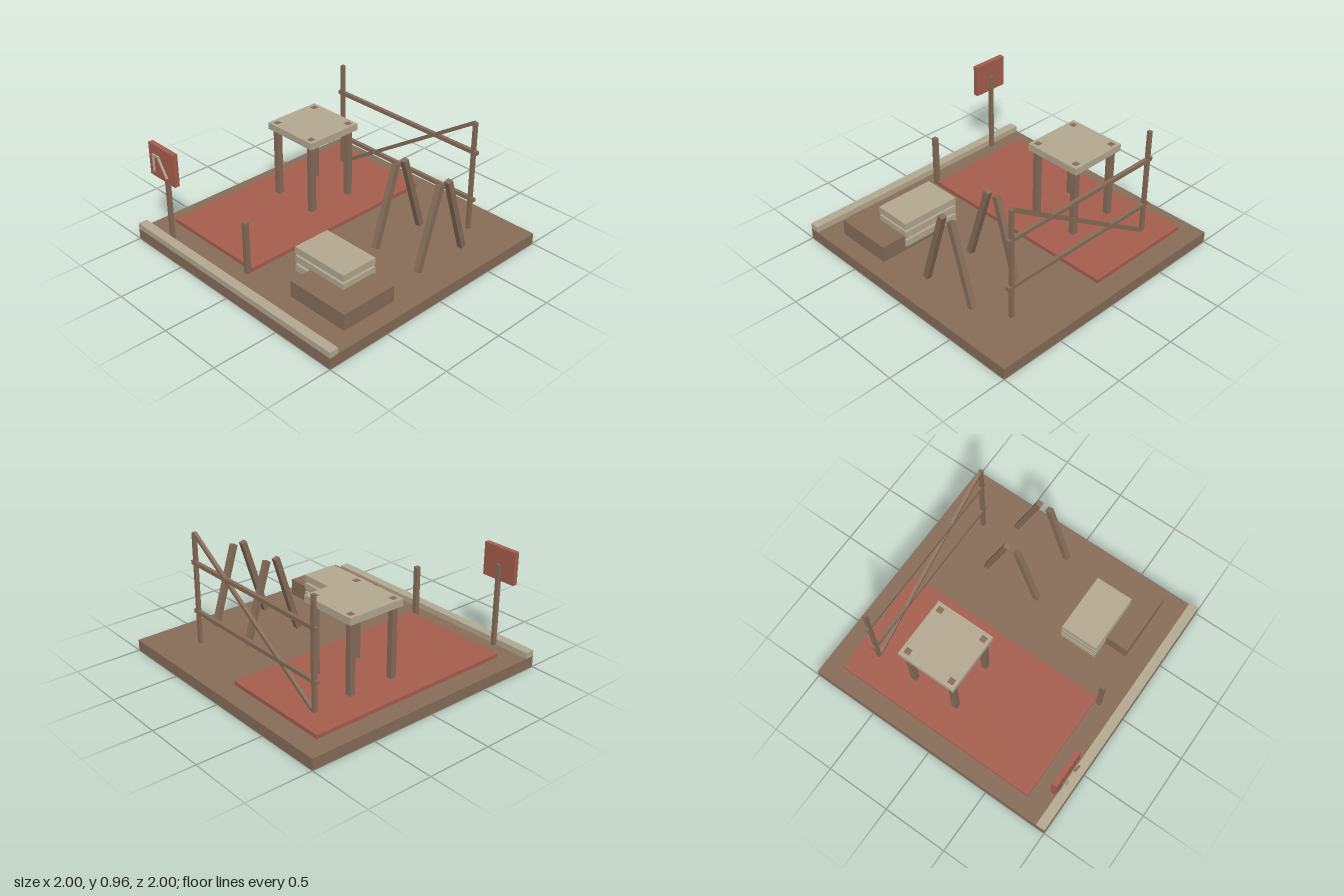
import * as THREE from 'three';

export function createModel() {
  const model = new THREE.Group();
  const material = (name, color) => {
    const m = new THREE.MeshStandardMaterial({ color });
    m.name = name;
    return m;
  };
  const wood = material('brown wood', 0x886e59);
  const pale = material('pale beige', 0xb6ab92);
  const red = material('brick red', 0xa85f4f);

  // Box given by its extents along each axis
  const block = (name, mat, [x0, x1], [y0, y1], [z0, z1]) => {
    const mesh = new THREE.Mesh(new THREE.BoxGeometry(x1 - x0, y1 - y0, z1 - z0), mat);
    mesh.position.set((x0 + x1) / 2, (y0 + y1) / 2, (z0 + z1) / 2);
    mesh.name = name;
    model.add(mesh);
    return mesh;
  };
  // Upright square post
  const post = (name, x, z, w, y0, y1) =>
    block(name, wood, [x - w / 2, x + w / 2], [y0, y1], [z - w / 2, z + w / 2]);
  // Straight bar in an x-y plane between two points
  const bar = (name, mat, [ax, ay], [bx, by], z, w, depth) => {
    const mesh = new THREE.Mesh(
      new THREE.BoxGeometry(Math.hypot(bx - ax, by - ay), w, depth), mat);
    mesh.position.set((ax + bx) / 2, (ay + by) / 2, z);
    mesh.rotation.z = Math.atan2(by - ay, bx - ax);
    mesh.name = name;
    model.add(mesh);
  };

  // Ground and floor
  block('base', wood, [-1, 1], [0, 0.085], [-1, 1]);
  block('frontCurb', pale, [-1, 1], [0.085, 0.13], [0.93, 1]);
  block('redFloor', red, [-0.87, -0.005], [0.1, 0.13], [-0.86, 0.77]);

  // Table, with the leg ends showing in the top
  block('tableTop', pale, [-0.683, -0.223], [0.663, 0.715], [-0.432, 0.023]);
  for (const x of [-0.633, -0.272])
    for (const z of [-0.384, -0.022]) post('tableLeg', x, z, 0.044, 0.1, 0.716);

  // Two trestles of leaning legs
  for (const x of [0.38, 0.777])
    for (const side of [1, -1]) {
      const leg = block('trestleLeg', wood, [x - 0.021, x + 0.021], [0.102, 0.728],
        [-0.021, 0.021]);
      leg.position.z = -0.246 + side * 0.133;
      leg.rotation.x = -side * 0.3;
    }

  // Rear scaffold frame
  for (const x of [-0.65, 0.645]) post('scaffoldPost', x, -0.698, 0.027, 0.105, 0.953);
  for (const y of [0.351, 0.725])
    bar('scaffoldRail', wood, [-0.685, y], [0.682, y], -0.698, 0.028, 0.0275);
  bar('scaffoldBrace', wood, [-0.645, 0.128], [0.643, 0.951], -0.698, 0.025, 0.025);

  // Crate with a stack of boards
  block('crate', wood, [0.38, 0.88], [0.1, 0.225], [0.318, 0.765]);
  for (const y of [0.143, 0.214, 0.284])
    block('stackedBoard', pale, [0.23, 0.69], [y, y + 0.052], [0.297, 0.588]);

  // Marker stake
  post('stake', -0.021, 0.798, 0.035, 0.1, 0.5);

  // Sign with a small pictogram standing off the board
  post('signPost', -0.703, 0.916, 0.029, 0.085, 0.716);
  block('signBoard', red, [-0.84, -0.562], [0.594, 0.84], [0.917, 0.955]);
  bar('signMarkUpright', pale, [-0.751, 0.657], [-0.751, 0.79], 0.984, 0.012, 0.012);
  bar('signMarkTop', pale, [-0.756, 0.788], [-0.68, 0.788], 0.984, 0.012, 0.0118);
  bar('signMarkDiagonal', pale, [-0.697, 0.786], [-0.607, 0.655], 0.984, 0.014, 0.0124);

  return model;
}
